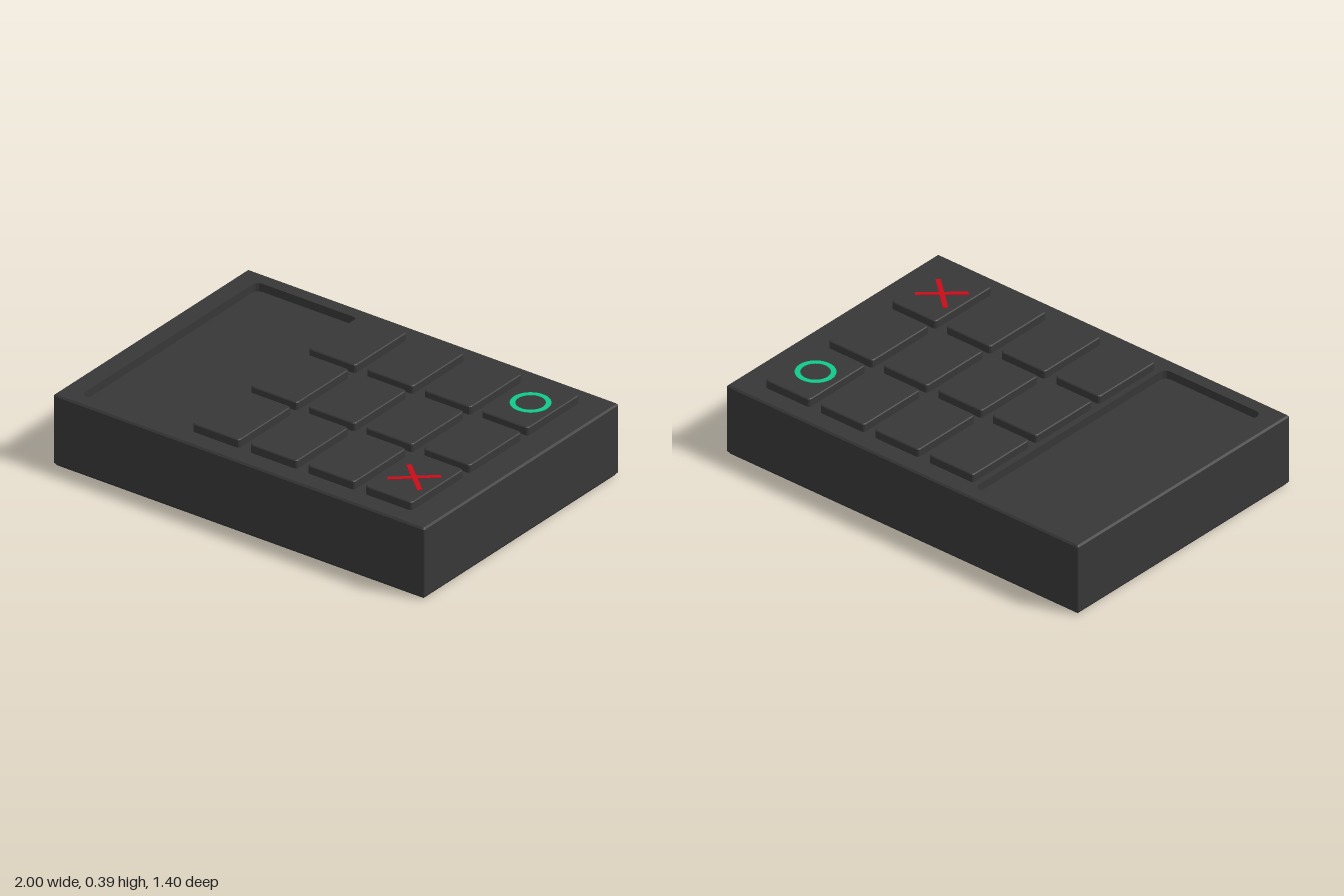
import * as THREE from 'three';

// Counter-clockwise outline of a rectangle with rounded corners, centred on cx
function outline(hw, hd, r, cx = 0, steps = 3) {
  const pts = [];
  for (let c = 0; c < 4; c++) {
    const sx = c === 0 || c === 3 ? 1 : -1;
    const sy = c < 2 ? 1 : -1;
    for (let i = 0; i <= steps; i++) {
      const a = (c + i / steps) * Math.PI / 2;
      pts.push(new THREE.Vector2(
        cx + sx * (hw - r) + r * Math.cos(a),
        sy * (hd - r) + r * Math.sin(a)));
    }
  }
  return pts;
}

// Skin through outlines given as [halfWidth, halfDepth, cornerRadius, height];
// an outline of zero size closes the end
function loft(sections, cx = 0) {
  const rings = sections.map(([hw, hd, r, y]) =>
    outline(hw, hd, r, cx).map(p => new THREE.Vector3(p.x, y, -p.y)));
  const tris = [];
  const add = (a, b, c) => {
    const n = b.clone().sub(a).cross(c.clone().sub(a));
    if (n.length() > 1e-9) tris.push(a, b, c);
  };
  for (let k = 0; k + 1 < rings.length; k++) {
    const lo = rings[k], hi = rings[k + 1];
    for (let i = 0; i < lo.length; i++) {
      const j = (i + 1) % lo.length;
      add(lo[i], lo[j], hi[j]);
      add(lo[i], hi[j], hi[i]);
    }
  }
  const geo = new THREE.BufferGeometry().setFromPoints(tris);
  geo.computeVertexNormals();
  return geo;
}

export function createModel() {
  const model = new THREE.Group();
  model.name = 'keypad';

  const dark = new THREE.MeshStandardMaterial({ color: 0x373737, flatShading: true });
  const green = new THREE.MeshStandardMaterial({ color: 0x10c88a });
  const red = new THREE.MeshStandardMaterial({ color: 0xc80c18 });

  const add = (parent, name, geometry, material) => {
    const mesh = new THREE.Mesh(geometry, material);
    mesh.name = name;
    parent.add(mesh);
    return mesh;
  };

  // Casing: chamfered sides and base, open at the top edge
  const top = 0.35, bevel = 0.012;
  add(model, 'casing', loft([
    [0, 0, 0, 0],
    [1 - bevel, 0.7 - bevel, 0.004, 0],
    [1, 0.7, 0.01, 0.015],
    [1, 0.7, 0.01, top - 0.008],
    [1 - 0.008, 0.7 - 0.008, 0.004, top],
  ]), dark);

  // Top panel with an opening for the screen
  const screenX = -0.625, screenHW = 0.275, screenHD = 0.63;
  const panel = new THREE.Shape(outline(1 - 0.008, 0.7 - 0.008, 0.004));
  panel.holes.push(new THREE.Path(outline(screenHW, screenHD, 0.03, screenX)));
  add(model, 'topPanel',
    new THREE.ShapeGeometry(panel).rotateX(-Math.PI / 2).translate(0, top, 0), dark);

  // Sunken screen: walls going down to a flat floor
  add(model, 'screenRecess', loft([
    [screenHW, screenHD, 0.03, top],
    [screenHW, screenHD, 0.03, top - 0.04],
    [0, 0, 0, top - 0.04],
  ], screenX), dark);

  // Keys: four columns by three rows
  const keyTop = 0.39;
  const keyGeometry = loft([
    [0.126, 0.188, 0.015, top - 0.005],
    [0.126, 0.188, 0.015, keyTop - 0.004],
    [0.122, 0.184, 0.013, keyTop],
    [0, 0, 0, keyTop],
  ]);
  const columns = [-0.195, 0.115, 0.425, 0.735];
  const rows = [-0.417, 0, 0.417];
  const keys = new THREE.Group();
  keys.name = 'keys';
  model.add(keys);
  columns.forEach((x, c) => rows.forEach((z, r) => {
    add(keys, `keyColumn${c + 1}Row${r + 1}`, keyGeometry, dark).position.set(x, 0, z);
  }));

  // Green confirm ring on the back corner key
  const ring = new THREE.Shape().absarc(0, 0, 0.09, 0, Math.PI * 2);
  ring.holes.push(new THREE.Path().absarc(0, 0, 0.066, 0, Math.PI * 2, true));
  add(model, 'confirmRing',
    new THREE.ExtrudeGeometry(ring, { depth: 0.002, bevelEnabled: false, curveSegments: 32 })
      .rotateX(-Math.PI / 2), green).position.set(columns[3], keyTop, rows[0]);

  // Red cancel cross on the front corner key
  const cross = new THREE.Group();
  cross.name = 'cancelCross';
  cross.position.set(columns[3], keyTop, rows[2]);
  model.add(cross);
  for (const side of [-1, 1]) {
    const bar = add(cross, 'crossBar', new THREE.BoxGeometry(0.232, 0.004, 0.023), red);
    bar.rotation.y = side * 0.72;
  }

  return model;
}
